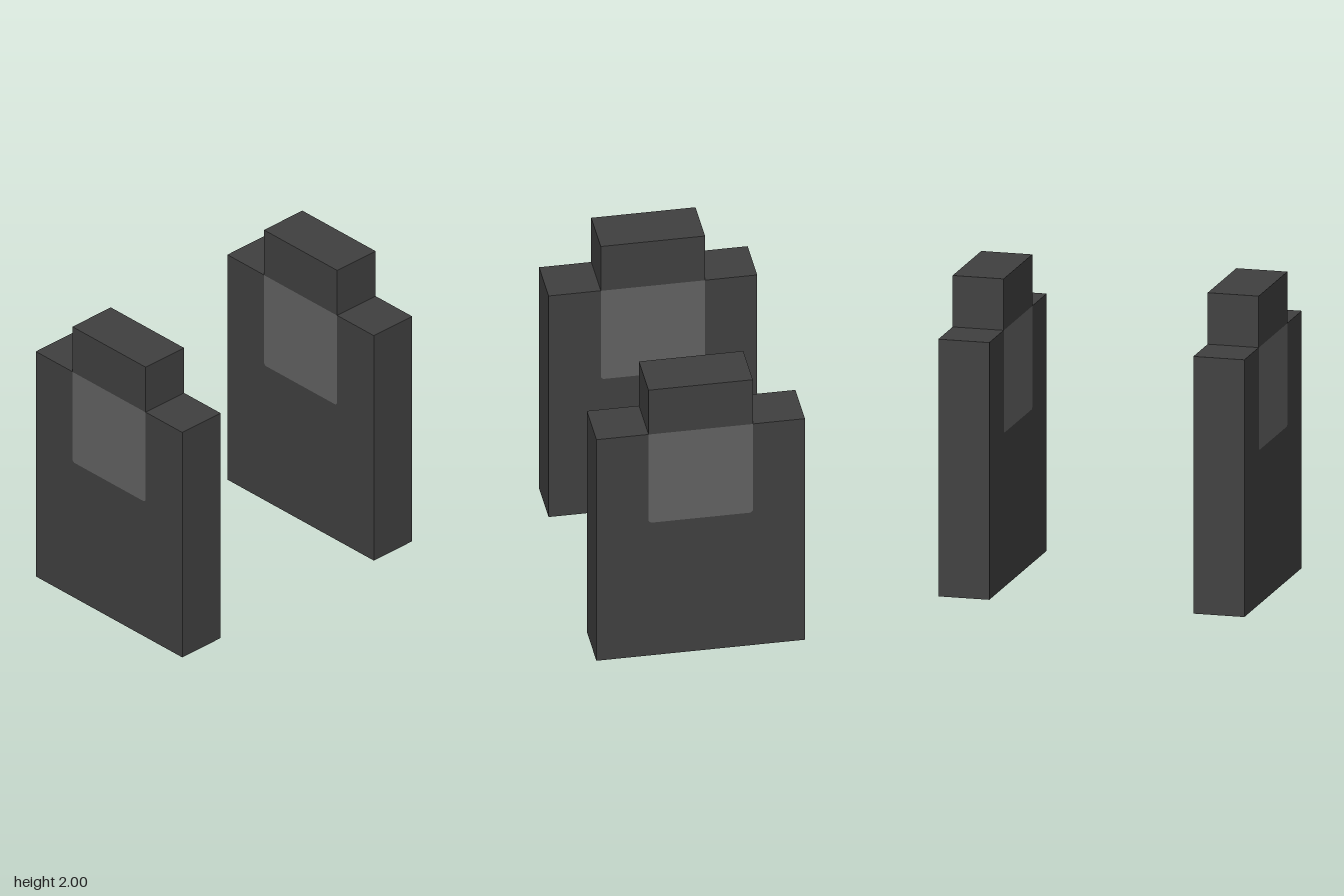
import * as THREE from 'three';

const dark = new THREE.MeshStandardMaterial({ color: 0x404040 });
dark.name = 'darkGrey';
const light = new THREE.MeshStandardMaterial({ color: 0x626262 });
light.name = 'midGrey';

const T = 1 / 3; // block thickness, neck half width and neck height

function polygon(points) {
  return new THREE.Shape(points.map(([x, y]) => new THREE.Vector2(x, y)));
}

// Wide slab with a narrower neck on top, extruded across its thickness
function makeBody() {
  const outline = polygon([
    [-2 * T, 0], [2 * T, 0], [2 * T, 5 * T], [T, 5 * T],
    [T, 2], [-T, 2], [-T, 5 * T], [-2 * T, 5 * T],
  ]);
  const geo = new THREE.ExtrudeGeometry(outline, { depth: T, bevelEnabled: false });
  geo.translate(0, 0, -T / 2);
  geo.rotateY(Math.PI / 2);
  const mesh = new THREE.Mesh(geo, dark);
  mesh.name = 'body';
  return mesh;
}

// Paler panel below the neck, with small cut lower corners
function makePanel(side) {
  const c = 0.015;
  const outline = polygon([
    [-T + c, 1], [T - c, 1], [T, 1 + c], [T, 5 * T], [-T, 5 * T], [-T, 1 + c],
  ]);
  const mesh = new THREE.Mesh(new THREE.ShapeGeometry(outline), light);
  mesh.rotation.y = side * Math.PI / 2;
  mesh.position.x = side * (T / 2 + 0.001);
  mesh.name = side > 0 ? 'leftPanel' : 'rightPanel';
  return mesh;
}

export function createModel() {
  const model = new THREE.Group();
  model.name = 'pairOfBlocks';
  for (const side of [-1, 1]) {
    const block = new THREE.Group();
    block.name = side > 0 ? 'leftBlock' : 'rightBlock';
    block.add(makeBody(), makePanel(1), makePanel(-1));
    block.position.x = side * (1 - T / 2);
    model.add(block);
  }
  return model;
}
